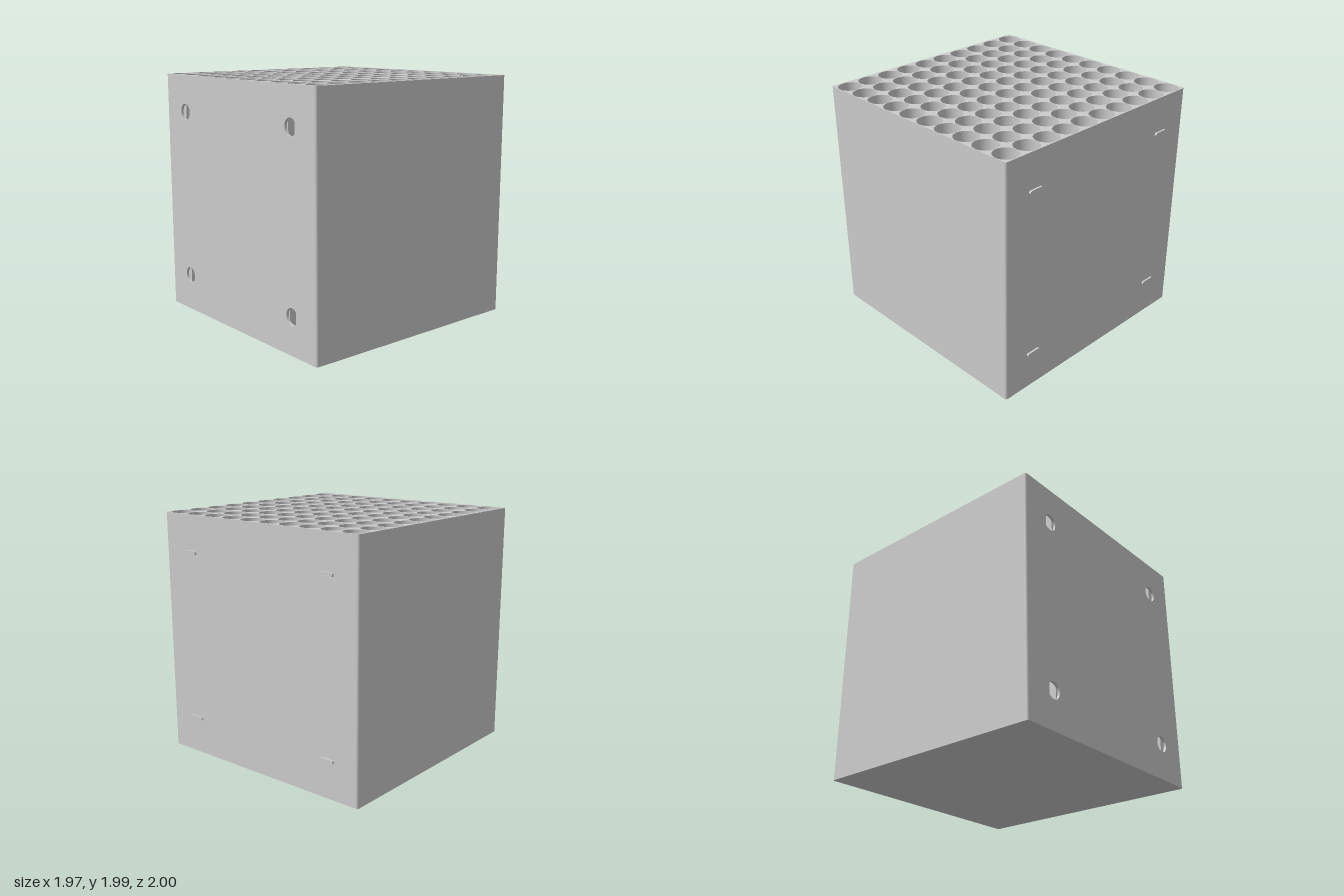
import * as THREE from 'three';
import { mergeGeometries } from 'three/addons/utils/BufferGeometryUtils.js';

const X = 0.987, Z0 = -0.985, Z1 = 1, H = 1.987, CORNER = 0.02;   // block
const WELL_R = 0.097, PITCH = 0.1967, WELL_Z = 0.003, FLOOR = 0.015; // wells
const HOLE_X = 0.703, HOLE_R = 0.066, HOLE_Y = [0.302, 1.687];     // front sockets
const WELL_X = 3.5 * PITCH, LAST_Z = WELL_Z + 4.5 * PITCH;         // wells behind the sockets
const SLOT = 0.035, SEAT_Z = LAST_Z + Math.sqrt(WELL_R ** 2 - SLOT ** 2);

export function createModel() {
  const model = new THREE.Group();
  const grey = new THREE.MeshStandardMaterial({ color: 0xcccccc, side: THREE.DoubleSide });
  grey.name = 'light grey';
  const add = (name, geometry) => {
    const mesh = new THREE.Mesh(geometry, grey);
    mesh.name = name;
    model.add(mesh);
  };
  const circle = (x, y, r) => new THREE.Path().absarc(x, y, r, 0, Math.PI * 2, true);
  const wells = [];
  for (let i = 0; i < 10; i++) for (let j = 0; j < 10; j++)
    wells.push([(i - 4.5) * PITCH, WELL_Z + (j - 4.5) * PITCH, j === 9 && (i === 1 || i === 8)]);

  // Rounded plan outline, y of the shape is -z
  const outline = () => {
    const s = new THREE.Shape(), c = CORNER;
    s.absarc(X - c, -Z0 - c, c, 0, Math.PI / 2);
    s.absarc(-X + c, -Z0 - c, c, Math.PI / 2, Math.PI);
    s.absarc(-X + c, -Z1 + c, c, Math.PI, Math.PI * 1.5);
    s.absarc(X - c, -Z1 + c, c, Math.PI * 1.5, Math.PI * 2);
    return s;
  };

  // Top with its grid of round openings, and closed base
  const top = outline();
  wells.forEach(([x, z]) => top.holes.push(circle(x, -z, WELL_R)));
  add('topFace', new THREE.ShapeGeometry(top, 24).rotateX(-Math.PI / 2).translate(0, H, 0));
  add('base', new THREE.ShapeGeometry(outline(), 12).rotateX(Math.PI / 2).scale(1, 1, -1).rotateY(0));
  // Reverse the base winding after mirroring it, so that it faces down
  const base = model.getObjectByName('base').geometry;
  base.index.array.reverse();
  base.computeVertexNormals();

  // Plain side and back walls, with rounded upright edges
  const depth = Z1 - Z0 - 2 * CORNER, midZ = (Z0 + Z1) / 2;
  for (const s of [-1, 1])
    add(s > 0 ? 'leftWall' : 'rightWall',
      new THREE.PlaneGeometry(depth, H).rotateY(s * Math.PI / 2).translate(s * X, H / 2, midZ));
  add('backWall', new THREE.PlaneGeometry(2 * (X - CORNER), H).rotateY(Math.PI).translate(0, H / 2, Z0));
  [[1, 1], [1, -1], [-1, -1], [-1, 1]].forEach(([sx, sz], k) =>
    add('roundedEdge', new THREE.CylinderGeometry(CORNER, CORNER, H, 8, 1, true, k * Math.PI / 2, Math.PI / 2)
      .translate(sx * (X - CORNER), H / 2, sz > 0 ? Z1 - CORNER : Z0 + CORNER)));

  // Front wall with four round sockets
  const w = X - CORNER;
  const front = new THREE.Shape([[-w, 0], [w, 0], [w, H], [-w, H]].map(p => new THREE.Vector2(...p)));
  for (const s of [-1, 1]) for (const y of HOLE_Y) front.holes.push(circle(s * HOLE_X, y, HOLE_R));
  add('frontWall', new THREE.ShapeGeometry(front, 24).translate(0, 0, Z1));

  // Well walls and floors; two are left open where the sockets break in
  const slotAngle = Math.asin(SLOT / WELL_R), wellH = H - FLOOR, parts = [];
  for (const [x, z, open] of wells) {
    const a = open ? slotAngle : 0;
    parts.push(new THREE.CylinderGeometry(WELL_R, WELL_R, wellH, 48, 1, true, a, Math.PI * 2 - 2 * a)
      .translate(x, FLOOR + wellH / 2, z));
    parts.push(new THREE.CircleGeometry(WELL_R, 48).rotateX(-Math.PI / 2).translate(x, FLOOR, z));
  }
  add('wells', mergeGeometries(parts));

  // Strips of well wall above, between and below the sockets
  const edge = (x, s, y, sign) => y + sign * Math.sqrt(HOLE_R ** 2 - (x - s * HOLE_X) ** 2);
  for (const s of [-1, 1]) {
    const spans = [
      [() => FLOOR, x => edge(x, s, HOLE_Y[0], -1)],
      [x => edge(x, s, HOLE_Y[0], 1), x => edge(x, s, HOLE_Y[1], -1)],
      [x => edge(x, s, HOLE_Y[1], 1), () => H],
    ];
    for (const [low, high] of spans) {
      const g = new THREE.PlaneGeometry(2 * SLOT, 1, 12, 1), p = g.attributes.position;
      for (let i = 0; i < p.count; i++) {
        const dx = p.getX(i), x = s * WELL_X + dx;
        p.setXYZ(i, x, p.getY(i) > 0 ? high(x) : low(x), LAST_Z + Math.sqrt(WELL_R ** 2 - dx * dx));
      }
      g.computeVertexNormals();
      add('wellWallStrip', g);
    }
  }

  // Socket rims and the two seat segments beside each slot
  const peg = new THREE.Shape();
  peg.absarc(0.049, 0, 0.015, -Math.PI / 2, Math.PI / 2);
  peg.absarc(-0.049, 0, 0.015, Math.PI / 2, Math.PI * 1.5);
  for (const s of [-1, 1]) for (const y of HOLE_Y) {
    add('socketRim', new THREE.CylinderGeometry(HOLE_R, HOLE_R, Z1 - SEAT_Z, 48, 1, true)
      .rotateX(Math.PI / 2).translate(s * HOLE_X, y, (Z1 + SEAT_Z) / 2));
    for (const side of [-1, 1]) {
      const a = Math.acos((s * WELL_X + side * SLOT - s * HOLE_X) * side / HOLE_R);
      const mid = side > 0 ? 0 : Math.PI;
      const seat = new THREE.Shape().absarc(s * HOLE_X, y, HOLE_R, mid - a, mid + a);
      add('socketSeat', new THREE.ShapeGeometry(seat, 24).translate(0, 0, SEAT_Z));
    }
    // Matching peg on the back
    add('backPeg', new THREE.ExtrudeGeometry(peg, { depth: Z0 + 1 + 0.004, bevelEnabled: false, curveSegments: 12 })
      .translate(s * HOLE_X, y, -1));
  }
  return model;
}
